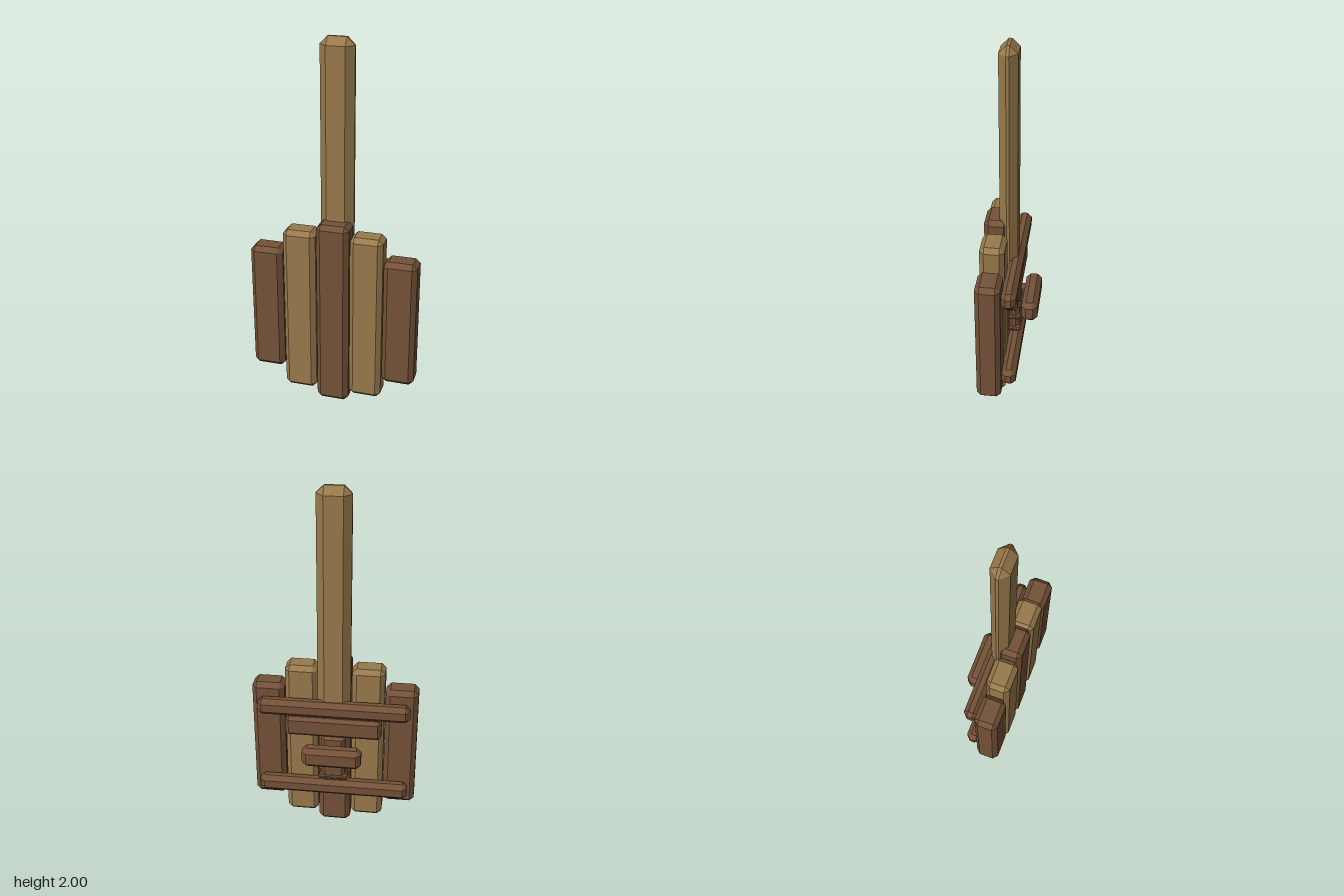
import * as THREE from 'three';
import { ConvexGeometry } from 'three/addons/geometries/ConvexGeometry.js';

// Box with flat bevels on every edge and corner, given by its extents.
function bevelBox([x0, x1], [y0, y1], [z0, z1], c) {
  const half = [(x1 - x0) / 2, (y1 - y0) / 2, (z1 - z0) / 2];
  const points = [];
  for (const sx of [-1, 1]) for (const sy of [-1, 1]) for (const sz of [-1, 1]) {
    for (let axis = 0; axis < 3; axis++) {
      // the corner of the face on this axis, pulled in along the other two
      const h = half.map((v, i) => (i === axis ? v : v - c));
      points.push(new THREE.Vector3(sx * h[0], sy * h[1], sz * h[2]));
    }
  }
  const geometry = new ConvexGeometry(points);
  geometry.translate((x0 + x1) / 2, (y0 + y1) / 2, (z0 + z1) / 2);
  return geometry;
}

export function createModel() {
  const model = new THREE.Group();
  model.name = 'plankPaddle';

  const darkWood = new THREE.MeshStandardMaterial({ color: 0x745238, flatShading: true });
  darkWood.name = 'darkWood';
  const lightWood = new THREE.MeshStandardMaterial({ color: 0x987a4c, flatShading: true });
  lightWood.name = 'lightWood';

  function add(name, material, x, y, z, bevel) {
    const mesh = new THREE.Mesh(bevelBox(x, y, z, bevel), material);
    mesh.name = name;
    model.add(mesh);
  }

  // Five upright planks, stepped shorter toward the sides
  const spans = [[0, 1.05], [0.055, 1.0], [0.165, 0.885]];
  for (let i = -2; i <= 2; i++) {
    const step = Math.abs(i);
    const x = i * 0.181;
    add('plank' + (i + 3), step === 1 ? lightWood : darkWood,
      [x - 0.088, x + 0.088], spans[step], [0.015, 0.145], 0.025);
  }

  // Long pole
  add('pole', lightWood, [-0.089, 0.089], [0.72, 2], [-0.03, 0.065], 0.04);

  // Cross rails on the back
  add('upperRail', darkWood, [-0.412, 0.412], [0.73, 0.825], [-0.06, 0.018], 0.025);
  add('lowerRail', darkWood, [-0.412, 0.412], [0.23, 0.325], [-0.06, 0.018], 0.025);
  add('middleBar', darkWood, [-0.26, 0.26], [0.61, 0.725], [-0.052, 0.018], 0.018);

  // Short post with binding bands
  add('gripPost', darkWood, [-0.065, 0.065], [0.31, 0.61], [-0.041, 0.018], 0.02);
  for (const y of [0.35, 0.43, 0.51]) {
    add('band', darkWood, [-0.08, 0.08], [y - 0.01, y + 0.01], [-0.05, 0.018], 0.006);
  }

  // Hand grip behind the post
  add('handGrip', darkWood, [-0.16, 0.16], [0.47, 0.585], [-0.147, -0.06], 0.025);

  return model;
}
